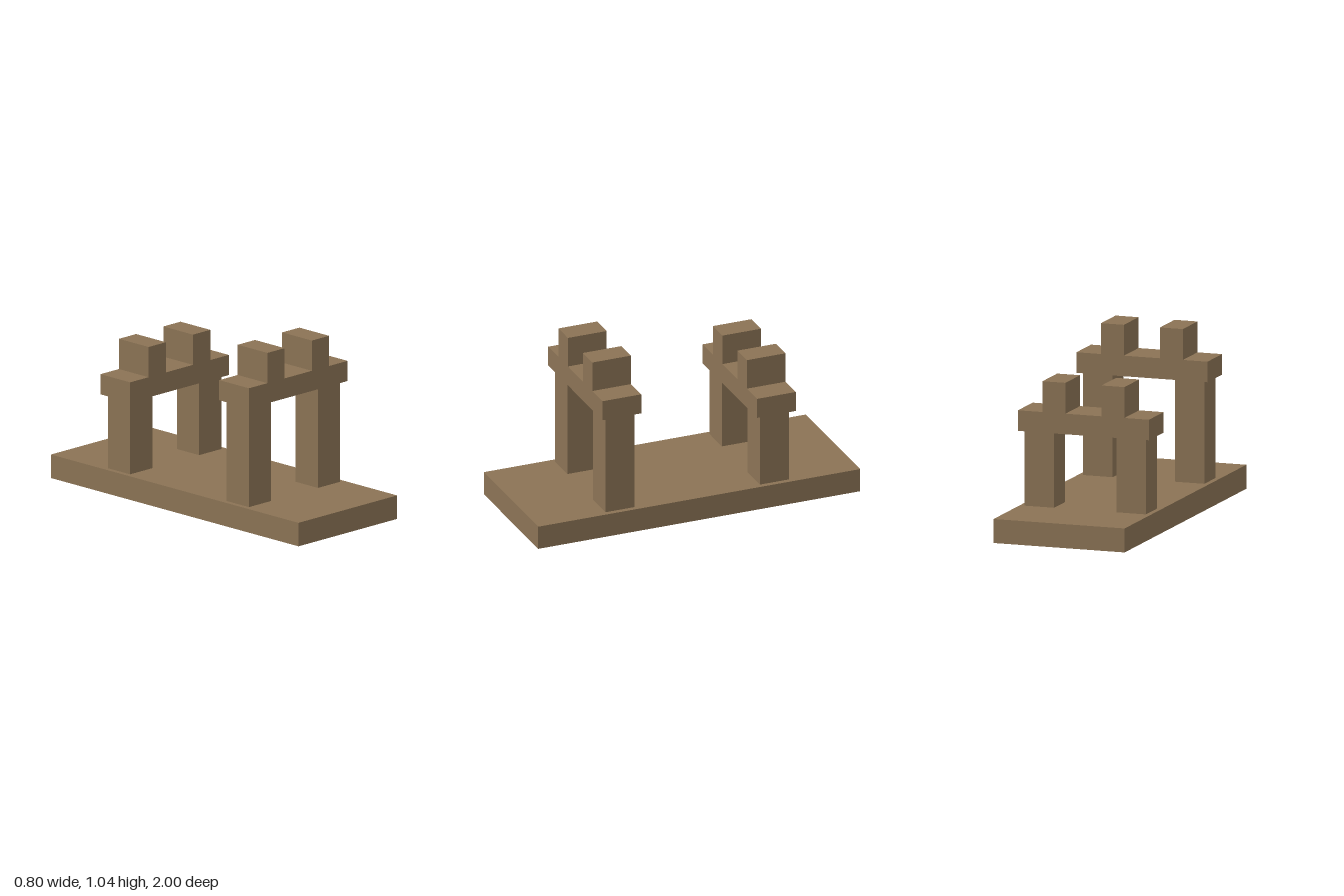
import * as THREE from 'three';

export function createModel() {
  const model = new THREE.Group();
  const wood = new THREE.MeshStandardMaterial({ color: 0x8b7355 });
  wood.name = 'wood';

  function add(parent, name, geometry, x, y, z) {
    const mesh = new THREE.Mesh(geometry, wood);
    mesh.name = name;
    mesh.position.set(x, y, z);
    parent.add(mesh);
  }

  // Flat base plank
  add(model, 'base', new THREE.BoxGeometry(0.8, 0.14, 2), 0, 0.07, 0);

  // Crossbar outline with two upright prongs, extruded along z
  const half = [[0.4, 0], [0.4, 0.12], [0.25, 0.12], [0.25, 0.3], [0.11, 0.3], [0.11, 0.12]];
  const outline = [...half, ...half.map(([x, y]) => [-x, y]).reverse()];
  const crossbarShape = new THREE.Shape(outline.map(([x, y]) => new THREE.Vector2(x, y)));
  const crossbar = new THREE.ExtrudeGeometry(crossbarShape, { depth: 0.24, bevelEnabled: false });
  crossbar.translate(0, 0, -0.12);

  // Two posts carrying a notched crossbar
  function addRack(name, z, postTop) {
    const rack = new THREE.Group();
    rack.name = name;
    rack.position.z = z;
    const height = postTop - 0.14;
    const post = new THREE.BoxGeometry(0.18, height, 0.18);
    add(rack, 'leftPost', post, 0.28, 0.14 + height / 2, 0);
    add(rack, 'rightPost', post, -0.28, 0.14 + height / 2, 0);
    add(rack, 'notchedCrossbar', crossbar, 0, postTop, 0);
    model.add(rack);
  }

  addRack('frontRack', 0.48, 0.74);
  addRack('backRack', -0.48, 0.58);

  return model;
}
